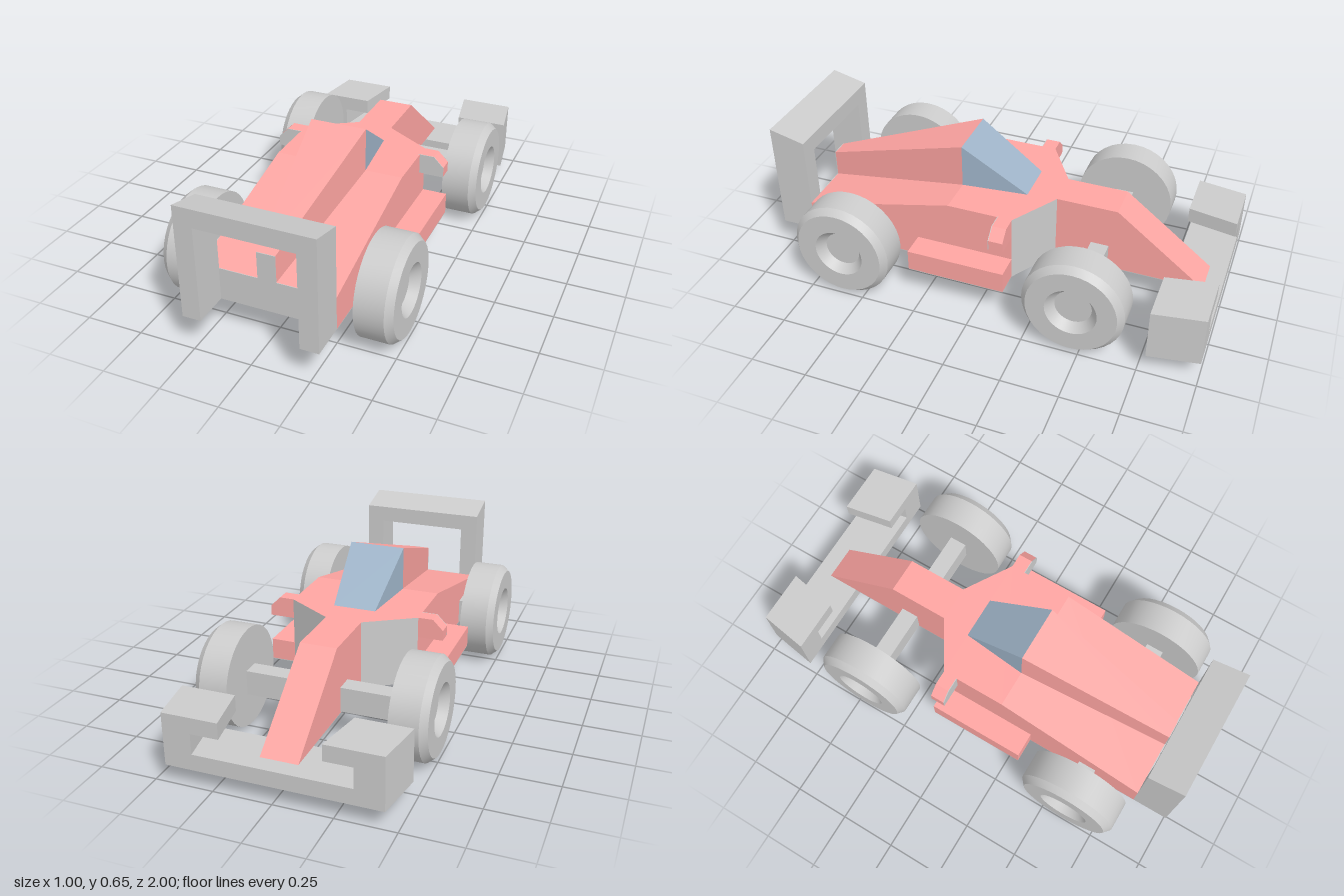
import * as THREE from 'three';
import { toCreasedNormals } from 'three/addons/utils/BufferGeometryUtils.js';

const mat = (color) => new THREE.MeshStandardMaterial({ color });

export function createModel() {
  const car = new THREE.Group();
  const red = mat(0xffa5a2), grey = mat(0xcccccc), blue = mat(0x9fb4c8);

  function add(name, geometry, material, parent = car) {
    const mesh = new THREE.Mesh(geometry, material);
    mesh.name = name;
    parent.add(mesh);
    return mesh;
  }

  // Box whose back and front rectangles [x0, x1, y0, y1] differ
  function taper(z0, a, z1, b = a) {
    const g = new THREE.BoxGeometry(1, 1, 1), p = g.attributes.position;
    for (let i = 0; i < p.count; i++) {
      const front = p.getZ(i) > 0, r = front ? b : a;
      p.setXYZ(i, p.getX(i) < 0 ? r[0] : r[1], p.getY(i) < 0 ? r[2] : r[3], front ? z1 : z0);
    }
    g.computeVertexNormals();
    return g;
  }
  // Same, mirrored to side s
  const flip = ([x0, x1, y0, y1], s) => (s > 0 ? [x0, x1, y0, y1] : [-x1, -x0, y0, y1]);
  const sideTaper = (s, z0, a, z1, b = a) => taper(z0, flip(a, s), z1, flip(b, s));

  const extrude = (points, depth) => new THREE.ExtrudeGeometry(
    new THREE.Shape(points.map(([x, y]) => new THREE.Vector2(x, y))), { depth, bevelEnabled: false });
  // Side outline [z, y] widened across x
  const sideProfile = (points, half) => extrude(points, half * 2).rotateY(-Math.PI / 2).translate(half, 0, 0);
  // Plan outline [x, z] raised from y0 to y1
  const plan = (points, y0, y1) => extrude(points, y1 - y0).rotateX(Math.PI / 2).translate(0, y1, 0);

  // Bodywork
  add('nose', sideProfile([[-0.925, 0.15], [-0.26, 0.15], [-0.26, 0.455], [-0.53, 0.455]], 0.08), red);
  add('sidepodInlets', plan([[0.08, -0.26], [0.29, -0.13], [-0.29, -0.13], [-0.08, -0.26]], 0.15, 0.455), [red, grey]);
  add('mainBody', sideProfile([[-0.13, 0.15], [0.84, 0.15], [0.84, 0.295], [0.16, 0.455], [-0.13, 0.455]], 0.29), red);
  add('engineCover', taper(0.16, [-0.125, 0.125, 0.45, 0.65], 0.84, [-0.04, 0.04, 0.28, 0.415]), red);
  add('cockpitWindow', taper(-0.13, [-0.095, 0.095, 0.45, 0.455], 0.16, [-0.125, 0.125, 0.45, 0.65]), blue);
  add('rearPanel', taper(0.84, [-0.21, 0.21, 0.15, 0.295], 0.843), grey);
  add('enginePanel', taper(0.84, [-0.04, 0.04, 0.295, 0.415], 0.843), grey);

  // Flat underside
  const half = [[0.08, -0.92], [0.08, -0.26], [0.29, -0.13], [0.4, -0.13], [0.4, 0.31], [0.29, 0.31], [0.29, 0.84]];
  const mirrored = half.map(([x, z]) => [-x, z]).reverse();
  add('floor', plan([...half, ...mirrored], 0.147, 0.15), grey);

  // Rear wing
  add('rearWingBar', taper(0.84, [-0.29, 0.29, 0.535, 0.61], 1, [-0.29, 0.29, 0.57, 0.65]), grey);

  // Front wing plate
  add('frontWingPlate', taper(-1, [-0.45, 0.45, 0.08, 0.15], -0.78, [-0.485, 0.485, 0.08, 0.15]), grey);

  // Wheel with chamfered outer edge and recessed hub
  const wheelGeometry = (r) => toCreasedNormals(new THREE.LatheGeometry(
    [[0, 0], [r, 0], [r, 0.125], [r - 0.025, 0.155], [0.112, 0.155], [0.08, 0.115], [0, 0.115]]
      .map(([x, y]) => new THREE.Vector2(x, y)), 36), 0.35);
  const axles = [
    { name: 'front', z: -0.46, r: 0.221, inner: 0.07 },
    { name: 'rear', z: 0.595, r: 0.223, inner: 0.28 },
  ];

  for (const s of [1, -1]) {
    const side = s > 0 ? 'left' : 'right';
    add(side + 'Sidepod', sideTaper(s, -0.13, [0.29, 0.4, 0.15, 0.245], 0.31), red);
    add(side + 'RearWingLeg', sideTaper(s, 0.84, [0.21, 0.29, 0.15, 0.535], 1, [0.21, 0.29, 0.15, 0.57]), grey);
    add(side + 'FrontWingWall', sideTaper(s, -1, [0.33, 0.45, 0.15, 0.24], -0.78, [0.37, 0.485, 0.15, 0.24]), grey);
    add(side + 'FrontWingFlap', sideTaper(s, -1, [0.21, 0.45, 0.24, 0.31], -0.78, [0.25, 0.485, 0.24, 0.31]), grey);

    // Mirror with a grey glass facing the rear
    const outline = [[0.28, 0.365], [0.4, 0.365], [0.4, 0.41], [0.355, 0.455], [0.28, 0.455]].map(([x, y]) => [s * x, y]);
    add(side + 'Mirror', extrude(outline, 0.062).translate(0, 0, -0.13), red);
    add(side + 'MirrorGlass', extrude(outline, 0.003).translate(0, 0, -0.068), grey);

    for (const { name, z, r, inner } of axles) {
      const wheel = add(`${side}${name}Wheel`, wheelGeometry(r), grey);
      wheel.rotation.z = -s * Math.PI / 2;
      wheel.position.set(s * 0.345, r + 0.003, z);
      add(`${side}${name}Axle`, sideTaper(s, z - 0.04, [inner, 0.35, 0.155, 0.265], z + 0.04), grey);
    }
  }
  return car;
}
